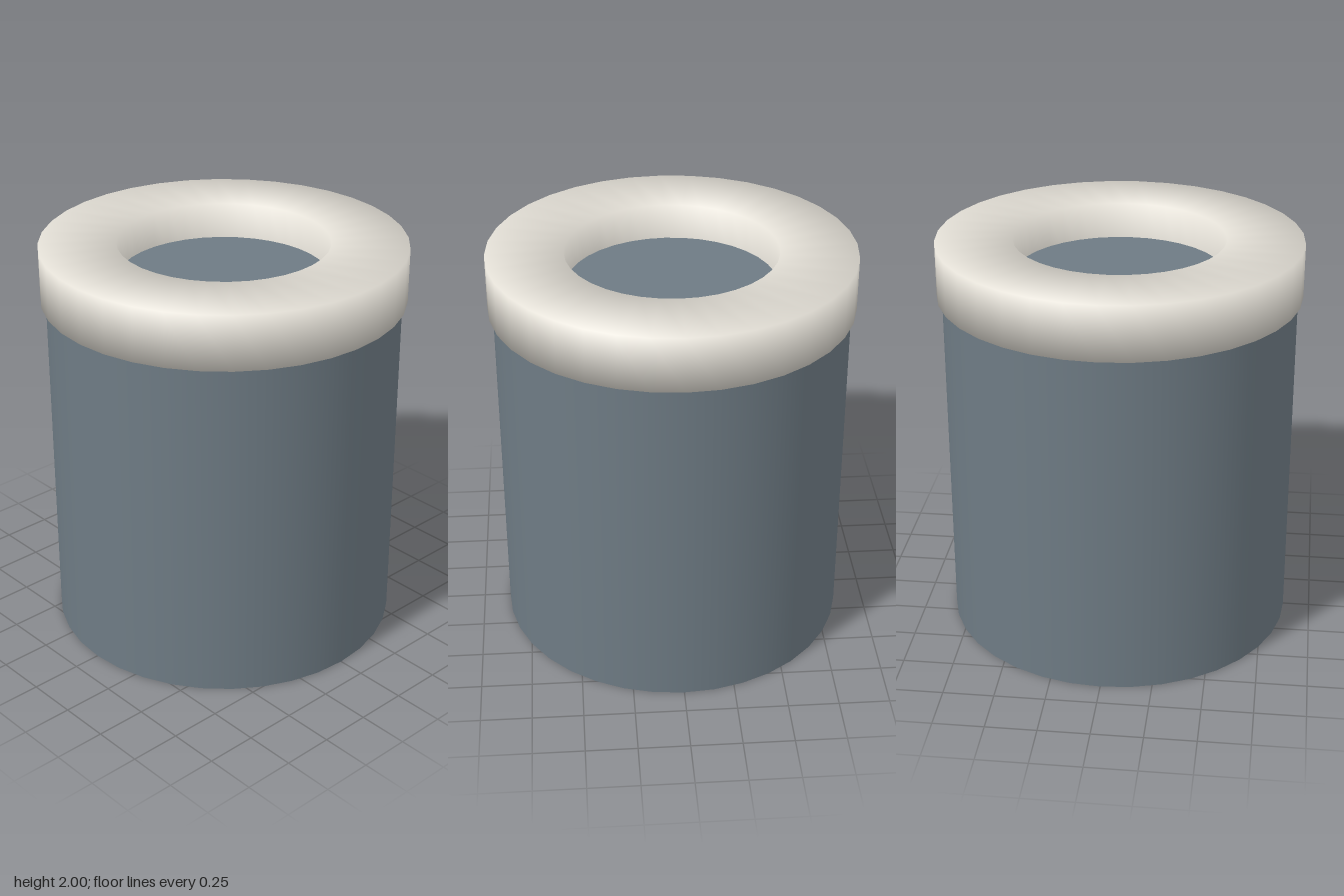
import * as THREE from 'three';

const SEGMENTS = 36;

export function createModel() {
  const model = new THREE.Group();
  model.name = 'ringToppedCylinder';

  const slate = new THREE.MeshStandardMaterial({ color: 0x6e7b84 });
  slate.name = 'slate grey';
  const cream = new THREE.MeshStandardMaterial({ color: 0xe2ded5 });
  cream.name = 'warm cream';

  // Solid drum; its top is recessed inside the ring
  const bodyHeight = 1.82;
  const body = new THREE.Mesh(
    new THREE.CylinderGeometry(0.865, 0.865, bodyHeight, SEGMENTS), slate);
  body.name = 'body';
  body.position.y = bodyHeight / 2;
  model.add(body);

  // Square-cut rim ring with softly blended normals
  const inner = 0.515, outer = 0.89, bottom = 1.73, top = 2;
  const profile = [
    [inner, bottom], [outer, bottom], [outer, top], [inner, top], [inner, bottom],
  ].map(([r, y]) => new THREE.Vector2(r, y));
  const ring = new THREE.Mesh(new THREE.LatheGeometry(profile, SEGMENTS), cream);
  ring.name = 'rimRing';
  model.add(ring);

  return model;
}
